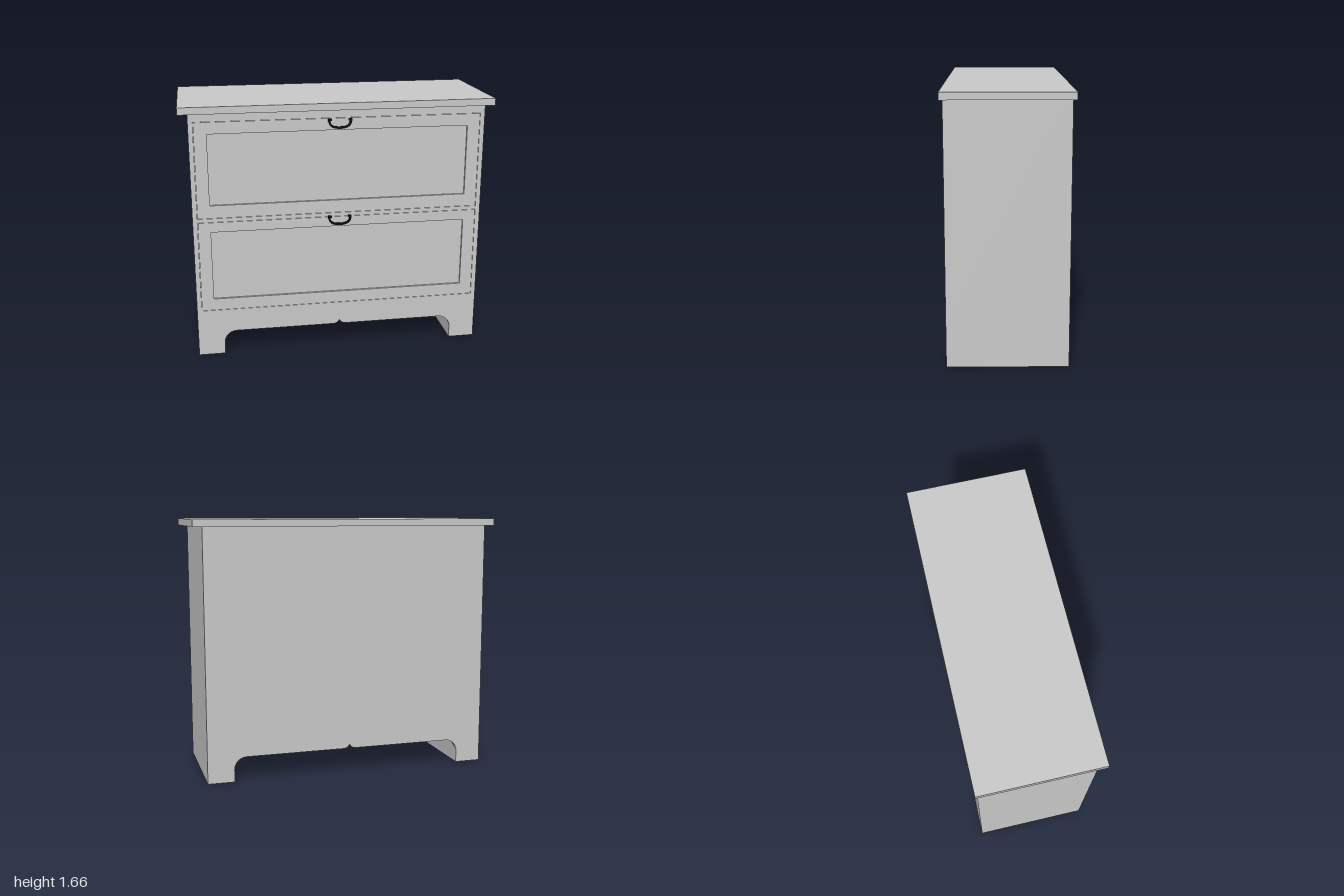
import * as THREE from 'three';

const grey = new THREE.MeshStandardMaterial({ color: 0xcccccc, flatShading: true });
const black = new THREE.MeshStandardMaterial({ color: 0x0a0a0a });

const W = 0.94, H = 1.615, D = 0.37, T = 0.03; // half width, height, half depth, board thickness

function add(parent, name, geometry, material = grey) {
  const mesh = new THREE.Mesh(geometry, material);
  mesh.name = name;
  parent.add(mesh);
  return mesh;
}

// Box given by its limits
function box(x0, x1, y0, y1, z0, z1) {
  return new THREE.BoxGeometry(x1 - x0, y1 - y0, z1 - z0)
    .translate((x0 + x1) / 2, (y0 + y1) / 2, (z0 + z1) / 2);
}

function rect(x, y0, y1, Type = THREE.Shape) {
  return new Type([[-x, y0], [x, y0], [x, y1], [-x, y1]].map(p => new THREE.Vector2(...p)));
}

function extrude(shape, z0, depth) {
  return new THREE.ExtrudeGeometry(shape, { depth, bevelEnabled: false, curveSegments: 10 })
    .translate(0, 0, z0);
}

// Board with rounded foot cutout and a small pointed notch in the middle
function boardShape() {
  const s = new THREE.Shape();
  s.moveTo(-W, 0);
  s.lineTo(-0.768, 0);
  s.lineTo(-0.768, 0.08);
  s.absarc(-0.688, 0.08, 0.08, Math.PI, Math.PI / 2, true);
  s.lineTo(-0.042, 0.16);
  s.quadraticCurveTo(-0.008, 0.162, 0, 0.19);
  s.quadraticCurveTo(0.008, 0.162, 0.042, 0.16);
  s.lineTo(0.688, 0.16);
  s.absarc(0.688, 0.08, 0.08, Math.PI / 2, 0, true);
  s.lineTo(0.768, 0);
  s.lineTo(W, 0);
  s.lineTo(W, H);
  s.lineTo(-W, H);
  s.closePath();
  return s;
}

// Flat D-shaped pull with small mounting tabs
function handleGeometry() {
  const s = new THREE.Shape();
  s.moveTo(-0.076, 0.062);
  s.lineTo(-0.076, 0.045);
  s.bezierCurveTo(-0.072, 0.012, -0.05, -0.005, 0, -0.005);
  s.bezierCurveTo(0.05, -0.005, 0.072, 0.012, 0.076, 0.045);
  s.lineTo(0.076, 0.062);
  s.lineTo(0.053, 0.062);
  s.lineTo(0.053, 0.047);
  s.lineTo(0.062, 0.044);
  s.bezierCurveTo(0.056, 0.018, 0.04, 0.01, 0, 0.01);
  s.bezierCurveTo(-0.04, 0.01, -0.056, 0.018, -0.062, 0.044);
  s.lineTo(-0.053, 0.047);
  s.lineTo(-0.053, 0.062);
  s.closePath();
  return extrude(s, 0, 0.006);
}

export function createModel() {
  const model = new THREE.Group();
  model.name = 'chestOfDrawers';

  add(model, 'topBoard', box(-1, 1, H, 1.66, -0.388, 0.388));
  add(model, 'carcass', box(-W, W, 0.32, H, T - D, D - T));
  for (const [name, a, b] of [['leftLeg', 0.768, W], ['rightLeg', -W, -0.768]]) {
    add(model, name, box(a, b, 0, 0.32, T - D, D - T));
  }
  add(model, 'backBoard', extrude(boardShape(), -D, T));

  const front = boardShape();
  const drawers = [
    { name: 'upperDrawer', y0: 0.945, y1: 1.565, p0: 1.03, p1: 1.488, handle: 1.5 },
    { name: 'lowerDrawer', y0: 0.315, y1: 0.92, p0: 0.395, p1: 0.853, handle: 0.865 },
  ];
  const gap = 0.002;
  for (const d of drawers) {
    front.holes.push(rect(0.91, d.y0, d.y1, THREE.Path));
    const drawer = new THREE.Group();
    drawer.name = d.name;
    // Raised frame around a recessed panel
    const x = 0.91 - gap, y0 = d.y0 + gap, y1 = d.y1 - gap;
    const frame = rect(x, y0, y1);
    frame.holes.push(rect(0.828, d.p0, d.p1, THREE.Path));
    add(drawer, 'drawerFrame', extrude(frame, D - 0.013, 0.013));
    add(drawer, 'drawerPanel', box(-x, x, y0, y1, D - T, D - 0.013));
    add(drawer, 'drawerHandle', handleGeometry(), black).position.set(0, d.handle, D);
    model.add(drawer);
  }
  add(model, 'frontBoard', extrude(front, D - T, T));
  return model;
}
